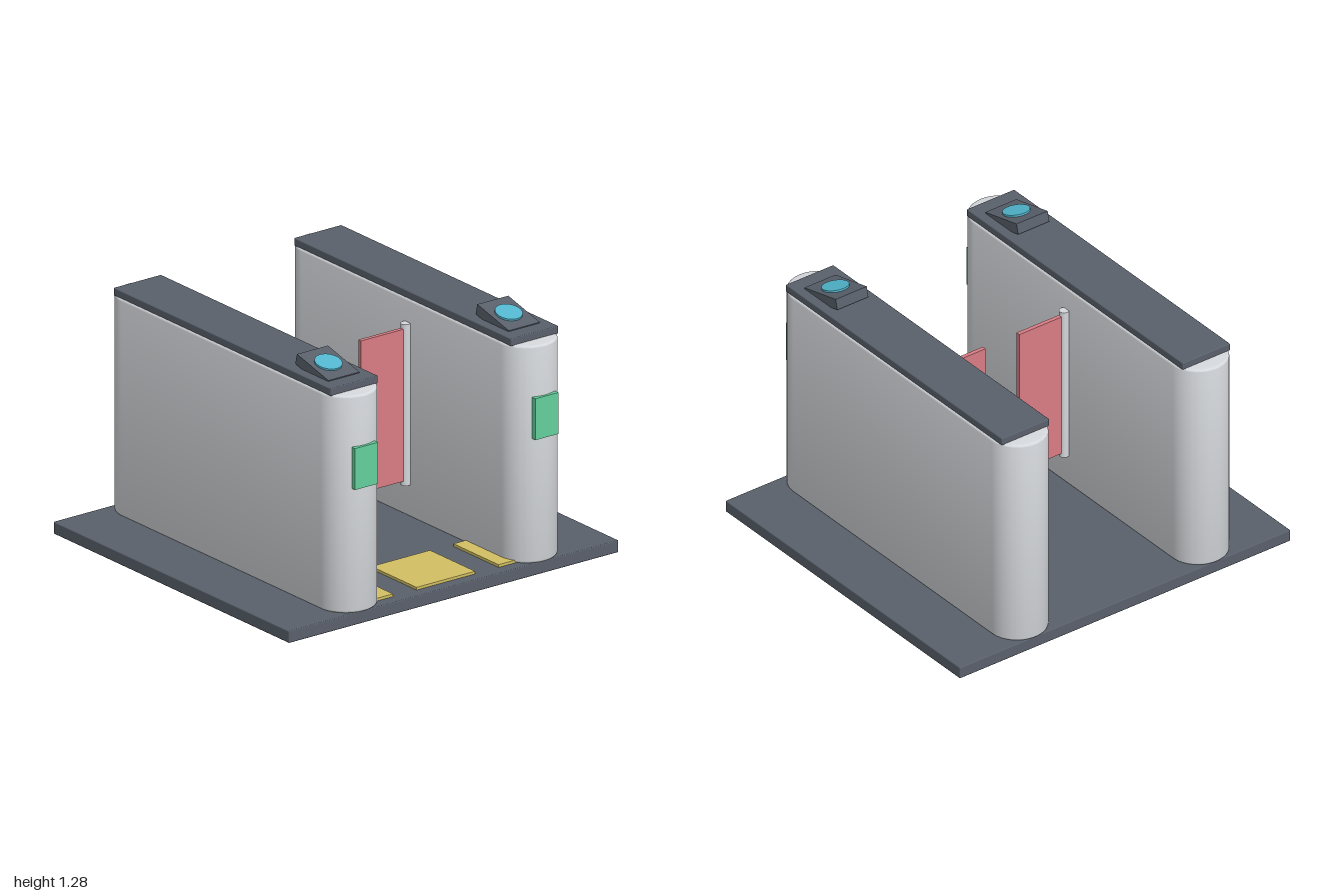
import * as THREE from 'three';
import { toCreasedNormals } from 'three/addons/utils/BufferGeometryUtils.js';
import { RoundedBoxGeometry } from 'three/addons/geometries/RoundedBoxGeometry.js';

function material(name, color) {
  const m = new THREE.MeshStandardMaterial({ color });
  m.name = name;
  return m;
}

// Pill-shaped column with small bevels on the top and bottom rims
function cabinetGeometry(halfWidth, halfLength, height, bevel) {
  const r = halfWidth - bevel, s = halfLength - halfWidth;
  const shape = new THREE.Shape();
  shape.moveTo(r, -s);
  shape.lineTo(r, s);
  shape.absarc(0, s, r, 0, Math.PI, false);
  shape.lineTo(-r, -s);
  shape.absarc(0, -s, r, Math.PI, Math.PI * 2, false);
  const geo = new THREE.ExtrudeGeometry(shape, {
    depth: height - 2 * bevel, bevelEnabled: true, bevelThickness: bevel,
    bevelSize: bevel, bevelSegments: 3, curveSegments: 24,
  });
  geo.rotateX(-Math.PI / 2);
  geo.translate(0, bevel, 0);
  return toCreasedNormals(geo, 0.6);
}

export function createModel() {
  const dark = material('dark slate', 0x59606b);
  const shell = material('light grey', 0xd5d8dc);
  const red = material('gate red', 0xd97d84);
  const green = material('signal green', 0x64d09d);
  const yellow = material('mat yellow', 0xd2c062);
  const blue = material('reader blue', 0x52b6ce);

  const model = new THREE.Group();
  model.name = 'turnstileGate';

  function add(parent, name, geo, mat, x, y, z) {
    const mesh = new THREE.Mesh(geo, mat);
    mesh.name = name;
    mesh.position.set(x, y, z);
    parent.add(mesh);
    return mesh;
  }
  const box = (w, h, d) => new THREE.BoxGeometry(w, h, d);

  // Floor plate and centre mat
  add(model, 'basePlate', new RoundedBoxGeometry(2, 0.062, 1.855, 2, 0.005), dark, 0, 0.031, -0.007);
  add(model, 'centreMat', box(0.355, 0.02, 0.355), yellow, 0, 0.066, 0.68);

  const cabinet = cabinetGeometry(0.152, 0.937, 1.118, 0.012);
  for (const side of [-1, 1]) {
    const lane = new THREE.Group();
    lane.name = side > 0 ? 'leftBarrier' : 'rightBarrier';
    model.add(lane);
    const cx = side * 0.547;

    // Cabinet with its lid and front signal
    add(lane, 'cabinet', cabinet, shell, cx, 0.062, -0.007);
    add(lane, 'lid', new RoundedBoxGeometry(0.288, 0.04, 1.71, 2, 0.005), dark, cx, 1.196, -0.007);
    add(lane, 'frontSignal', box(0.14, 0.213, 0.026), green, cx, 0.813, 0.931);

    // Tilted reader with a round pad
    const reader = new THREE.Group();
    reader.name = 'reader';
    reader.position.set(cx, 1.225, 0.635);
    reader.rotation.x = 0.24;
    lane.add(reader);
    add(reader, 'readerBody', box(0.188, 0.055, 0.255), dark, 0, 0, 0);
    add(reader, 'readerPad', new THREE.CylinderGeometry(0.068, 0.068, 0.012, 32), blue, 0, 0.031, 0);

    // Swing panel on its hinge post
    add(lane, 'hingePost', new THREE.CylinderGeometry(0.025, 0.025, 0.83, 20), shell, side * 0.38, 0.645, 0.047);
    add(lane, 'gatePanel', box(0.265, 0.783, 0.022), red, side * 0.2345, 0.644, 0.047);

    // Side mat running under the cabinet
    add(lane, 'sideMat', box(0.355, 0.02, 0.355), yellow, side * 0.4975, 0.066, 0.68);
  }
  return model;
}
